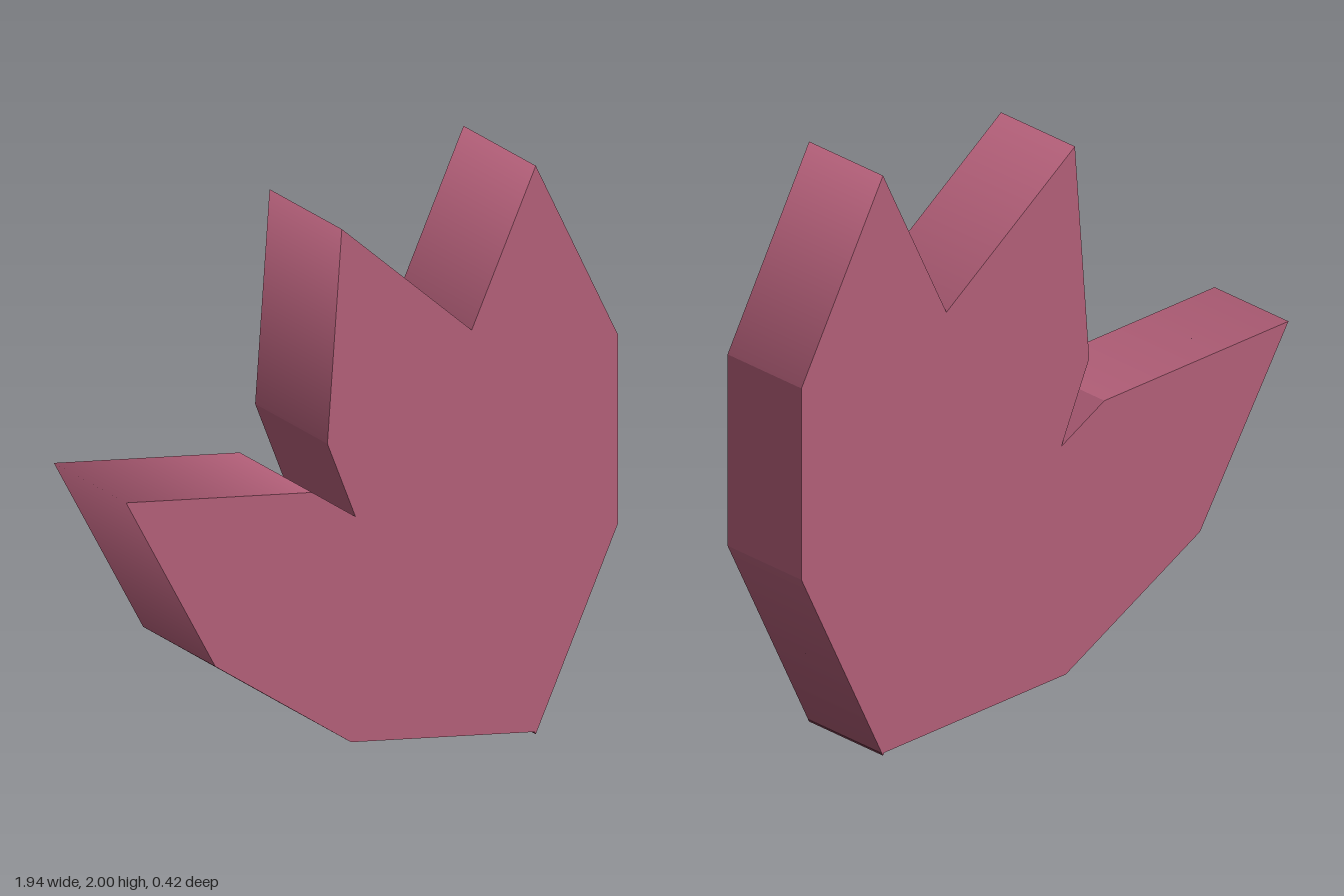
import * as THREE from 'three';

const DEPTH = 0.42;

// Long six-sided leaf blade, centred on the origin and pointing up
function leafGeometry() {
  const w = 0.325, tip = 1, shoulder = 0.33;
  const shape = new THREE.Shape([
    [0, tip], [-w, shoulder], [-w, -shoulder], [0, -tip], [w, -shoulder], [w, shoulder],
  ].map(([x, y]) => new THREE.Vector2(x, y)));
  const geo = new THREE.ExtrudeGeometry(shape, { depth: DEPTH, bevelEnabled: false });
  geo.translate(0, 0, -DEPTH / 2);

  // Walls shade smoothly around the two tips and stay sharp elsewhere
  const pos = geo.attributes.position, normal = geo.attributes.normal;
  for (let i = 0; i < pos.count; i++) {
    if (Math.abs(pos.getY(i)) > tip - 0.01 && Math.abs(normal.getZ(i)) < 0.5) {
      normal.setXYZ(i, 0, Math.sign(pos.getY(i)), 0);
    }
  }
  return geo;
}

export function createModel() {
  const group = new THREE.Group();
  group.name = 'leafCluster';
  const rose = new THREE.MeshStandardMaterial({ color: 0xb5607a });
  rose.name = 'rose';
  const geo = leafGeometry();

  // Three equal leaves fanned out from the bottom tip: name, x, y, tilt
  const leaves = [
    ['uprightLeaf', 0.645, 1.0, 0],
    ['middleLeaf', 0.247, 1.02, 21.5],
    ['leaningLeaf', -0.16, 0.594, 54.1],
  ];
  for (const [name, x, y, tilt] of leaves) {
    const leaf = new THREE.Mesh(geo, rose);
    leaf.name = name;
    leaf.position.set(x, y, 0);
    leaf.rotation.z = THREE.MathUtils.degToRad(tilt);
    group.add(leaf);
  }
  return group;
}
